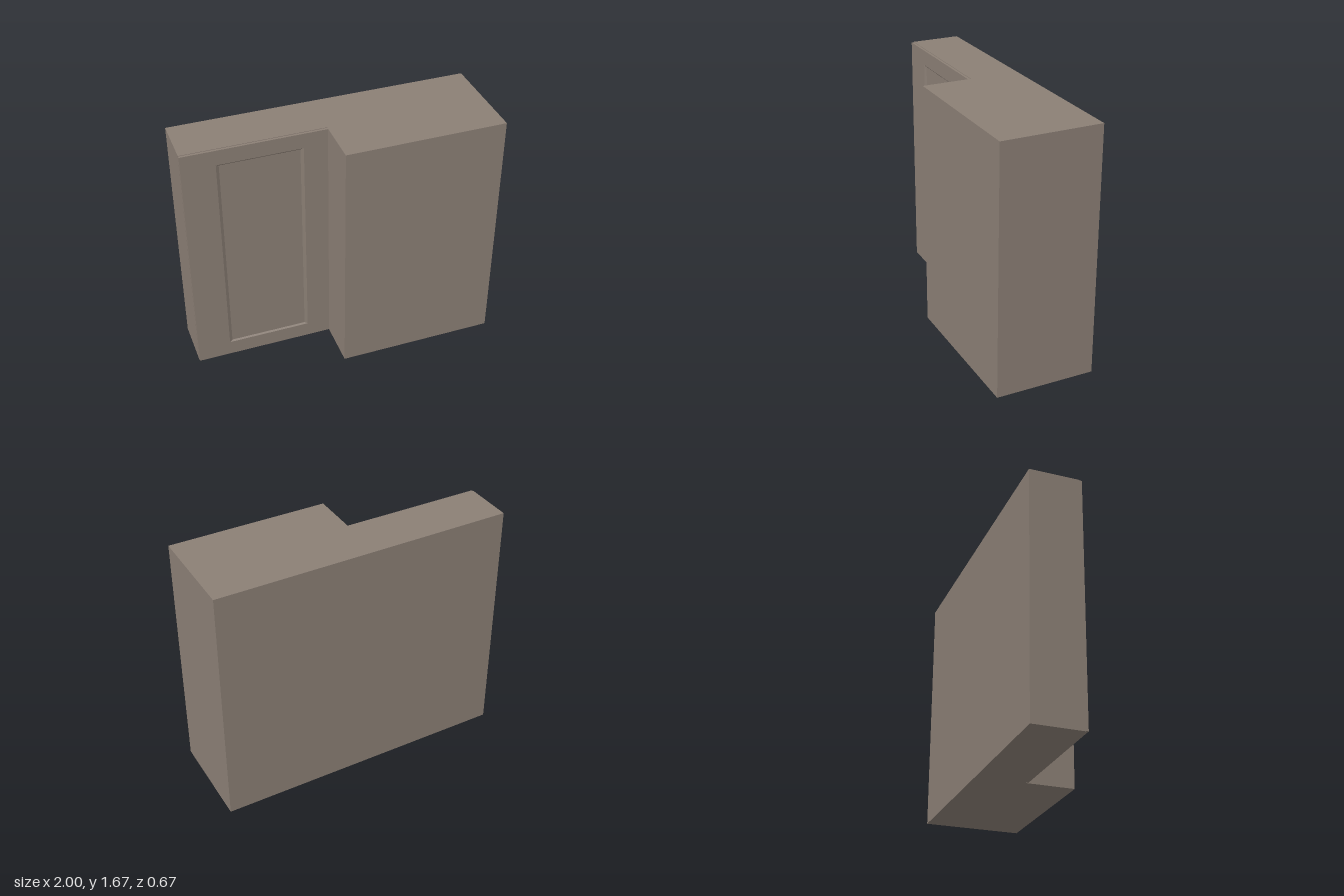
import * as THREE from 'three';

const material = new THREE.MeshStandardMaterial({ color: 0x8b7f75, flatShading: true });
const HEIGHT = 1.667;

// Rectangular ring of four corners, counter-clockwise seen from the front
const ring = (x0, x1, y0, y1, z) => [[x0, y0, z], [x1, y0, z], [x1, y1, z], [x0, y1, z]];

// Skin successive four-corner rings and cap both ends
function ringSolid(rings) {
  const positions = [];
  const quad = (a, b, c, d) => positions.push(...a, ...b, ...c, ...a, ...c, ...d);
  for (let r = 0; r < rings.length - 1; r++) {
    for (let i = 0; i < 4; i++) {
      const j = (i + 1) % 4;
      quad(rings[r][i], rings[r][j], rings[r + 1][j], rings[r + 1][i]);
    }
  }
  quad(...rings[rings.length - 1]);
  quad(...[...rings[0]].reverse());
  const geometry = new THREE.BufferGeometry();
  geometry.setAttribute('position', new THREE.Float32BufferAttribute(positions, 3));
  geometry.computeVertexNormals();
  return geometry;
}

export function createModel() {
  const model = new THREE.Group();
  model.name = 'cornerCabinet';

  // L-shaped carcass: plan drawn as (x, -z), extruded upwards
  const plan = new THREE.Shape(
    [[-1, 0], [-0.062, 0], [-0.062, -0.333], [1, -0.333], [1, 0.333], [-1, 0.333]]
      .map(([x, y]) => new THREE.Vector2(x, y))
  );
  const carcass = new THREE.Mesh(
    new THREE.ExtrudeGeometry(plan, { depth: HEIGHT, bevelEnabled: false }).rotateX(-Math.PI / 2),
    material
  );
  carcass.name = 'carcass';
  model.add(carcass);

  // Door with a bevelled, recessed panel; its inner edge tucks into the carcass
  const y0 = 0.003, y1 = HEIGHT - 0.003, front = 0.017;
  const door = new THREE.Mesh(ringSolid([
    ring(-0.999, 0, y0, y1, 0.0005),
    ring(-0.999, 0, y0, y1, front),
    ring(-0.78, -0.22, 0.107, 1.56, front),
    ring(-0.76, -0.24, 0.117, 1.55, front - 0.009),
  ]), material);
  door.name = 'door';
  model.add(door);

  return model;
}
